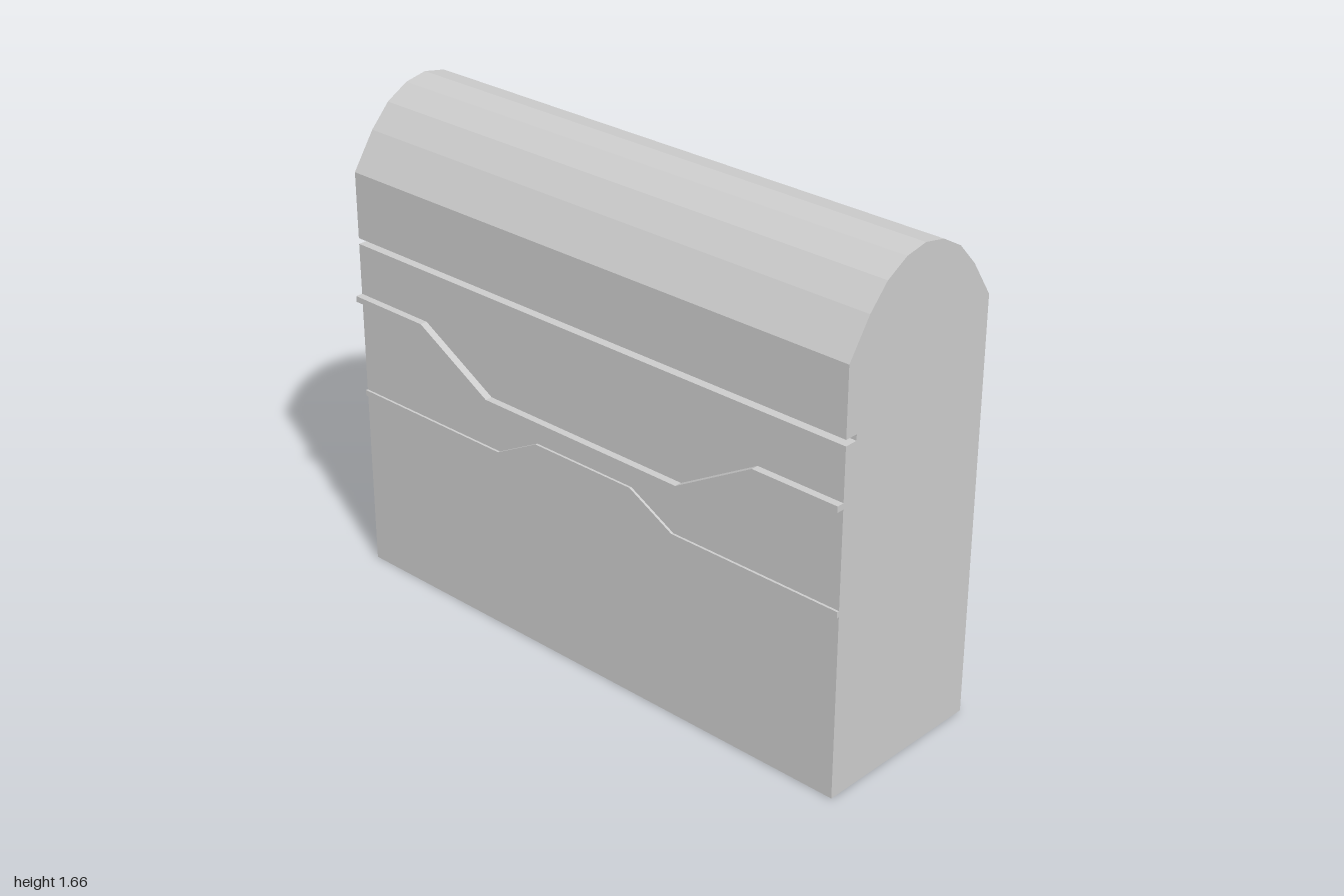
import * as THREE from 'three';

const material = new THREE.MeshStandardMaterial({ color: 0xcccccc, flatShading: true });
const LEFT = -0.3, RIGHT = 0.32, MID = 0.01;

function extruded(points, depth, name) {
  const shape = new THREE.Shape(points.map(([x, y]) => new THREE.Vector2(x, y)));
  const mesh = new THREE.Mesh(new THREE.ExtrudeGeometry(shape, { depth, bevelEnabled: false }), material);
  mesh.name = name;
  return mesh;
}

// Raised band on the -x wall, following a path of [z, y] points
function wallBand(path, thickness, protrusion, name) {
  const t = thickness / 2;
  // Shape x becomes world z; extrusion runs along -x
  const upper = path.map(([z, y]) => [z, y + t]);
  const lower = path.map(([z, y]) => [z, y - t]).reverse();
  const band = extruded([...lower.reverse(), ...upper.reverse()], protrusion, name);
  band.rotation.y = -Math.PI / 2;
  band.position.x = LEFT;
  return band;
}

export function createModel() {
  const group = new THREE.Group();

  // Arched roof outline: [distance from middle, height]
  const half = [[0.31, 1.405], [0.23, 1.525], [0.16, 1.6], [0.08, 1.645]];
  const roof = [
    ...half.map(([d, y]) => [MID + d, y]),
    [MID, 1.66],
    ...half.map(([d, y]) => [MID - d, y]).reverse(),
  ];

  // Block with a straight groove cut into its -x wall
  const groove = [[LEFT, 1.18], [LEFT + 0.045, 1.18], [LEFT + 0.045, 1.16], [LEFT, 1.16]];
  const body = extruded([[LEFT, 0], [RIGHT, 0], ...roof, ...groove], 2, 'archedBody');
  body.position.z = -1;
  group.add(body);

  // Upper band dips in the middle, lower band rises
  group.add(wallBand(
    [[-1, 0.975], [-0.69, 0.975], [-0.4, 0.81], [0.4, 0.81], [0.69, 0.975], [1, 0.975]],
    0.02, 0.025, 'upperBand'));
  group.add(wallBand(
    [[-1, 0.63], [-0.37, 0.63], [-0.2, 0.72], [0.2, 0.72], [0.37, 0.63], [1, 0.63]],
    0.02, 0.008, 'lowerBand'));

  return group;
}
